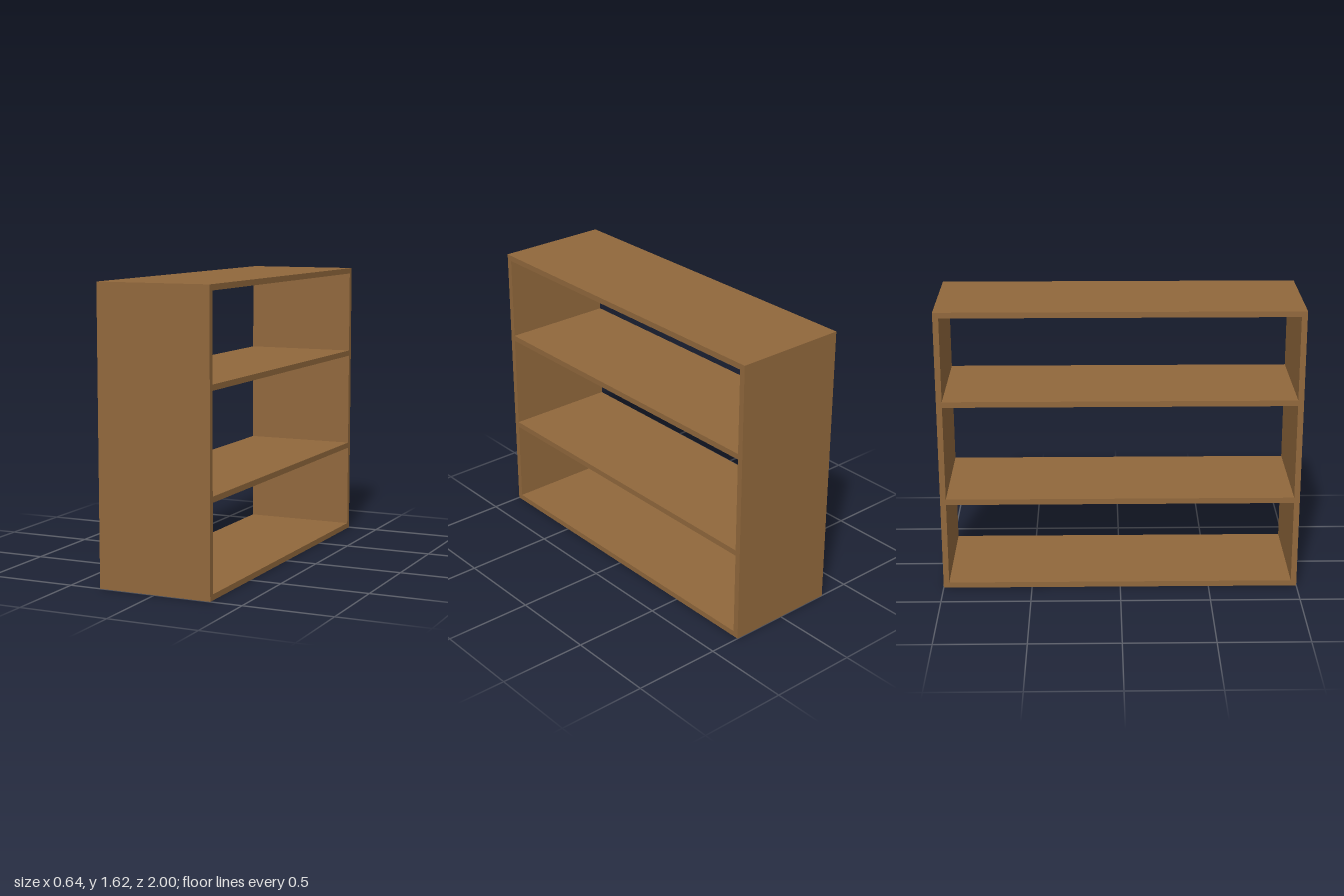
import * as THREE from 'three';

const LENGTH = 2, HEIGHT = 1.615, DEPTH = 0.644, BOARD = 0.032;

export function createModel() {
  const group = new THREE.Group();
  group.name = 'openBookcase';
  const wood = new THREE.MeshStandardMaterial({ color: 0x91683c });

  const addPart = (name, geometry) => {
    const mesh = new THREE.Mesh(geometry, wood);
    mesh.name = name;
    group.add(mesh);
    return mesh;
  };

  // Outer frame: top, bottom and end panels in one piece, open on both x sides
  const outline = new THREE.Shape([
    new THREE.Vector2(-LENGTH / 2, 0),
    new THREE.Vector2(LENGTH / 2, 0),
    new THREE.Vector2(LENGTH / 2, HEIGHT),
    new THREE.Vector2(-LENGTH / 2, HEIGHT),
  ]);
  const inner = LENGTH / 2 - BOARD;
  outline.holes.push(new THREE.Path([
    new THREE.Vector2(-inner, BOARD),
    new THREE.Vector2(-inner, HEIGHT - BOARD),
    new THREE.Vector2(inner, HEIGHT - BOARD),
    new THREE.Vector2(inner, BOARD),
  ]));
  const frame = new THREE.ExtrudeGeometry(outline, { depth: DEPTH, bevelEnabled: false });
  frame.translate(0, 0, -DEPTH / 2).rotateY(Math.PI / 2);
  addPart('frame', frame);

  // Two shelves between the end panels
  [['lowerShelf', 0.524], ['upperShelf', 1.096]].forEach(([name, y]) => {
    addPart(name, new THREE.BoxGeometry(DEPTH, BOARD, inner * 2)).position.y = y;
  });

  return group;
}
